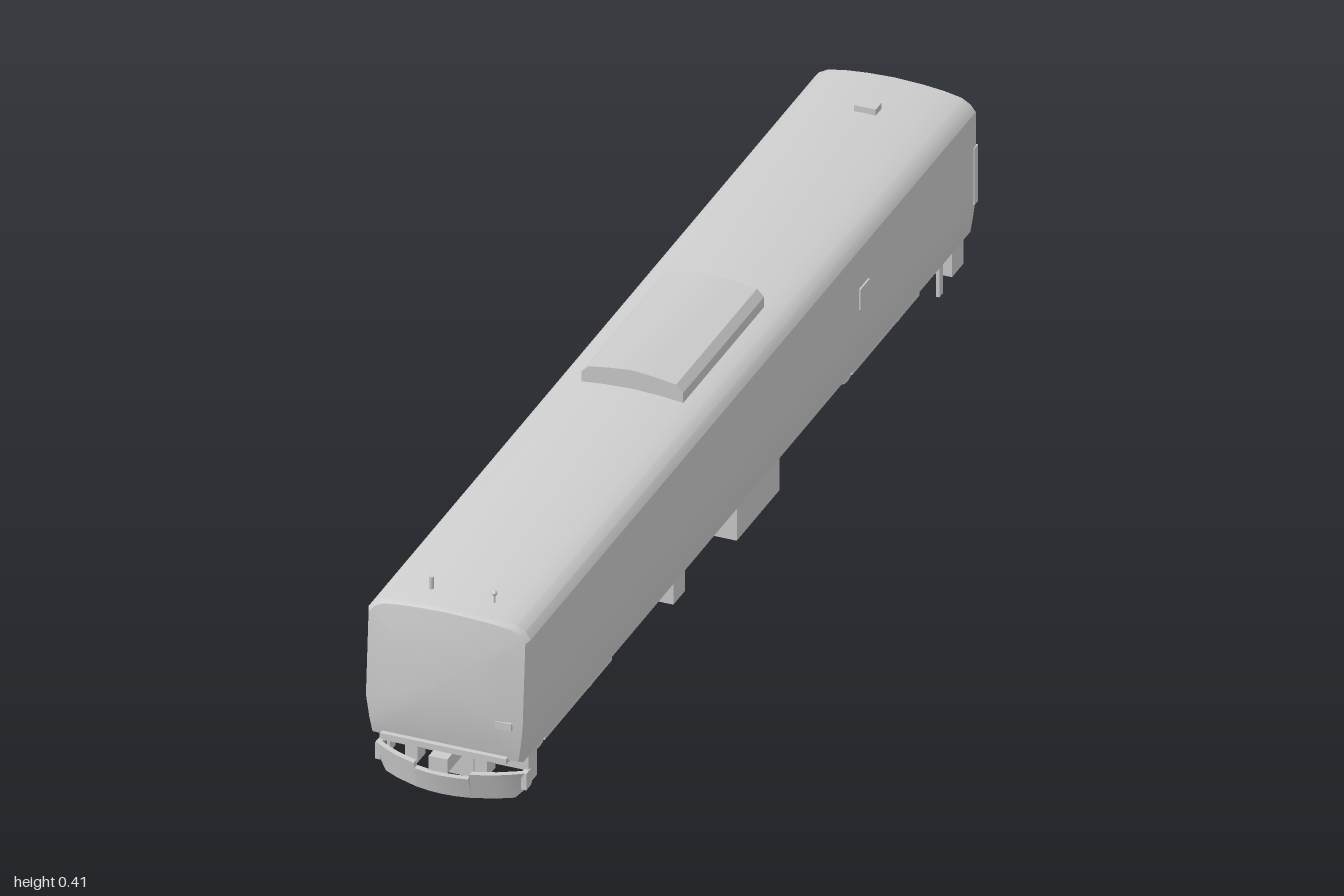
import * as THREE from 'three';
import { toCreasedNormals } from 'three/addons/utils/BufferGeometryUtils.js';

const mat = new THREE.MeshStandardMaterial({ color: 0xcccccc });

function add(parent, name, geo, x = 0, y = 0, z = 0) {
  const m = new THREE.Mesh(geo, mat);
  m.name = name;
  m.position.set(x, y, z);
  parent.add(m);
  return m;
}

// Box given by its extents on each axis
function box(parent, name, x0, x1, y0, y1, z0, z1) {
  return add(parent, name, new THREE.BoxGeometry(x1 - x0, y1 - y0, z1 - z0),
    (x0 + x1) / 2, (y0 + y1) / 2, (z0 + z1) / 2);
}

// The same box on both sides
function pair(parent, name, x0, x1, ...rest) {
  box(parent, name + 'Left', x0, x1, ...rest);
  box(parent, name + 'Right', -x1, -x0, ...rest);
}

// Skin closed rings of points and cap both ends
function loft(rings, crease = 0.5) {
  const pos = [];
  const tri = (...pts) => pts.forEach(p => pos.push(...p));
  const n = rings[0].length;
  const mid = r => [0, 1, 2].map(k => r.reduce((s, p) => s + p[k], 0) / n);
  const first = rings[0], last = rings[rings.length - 1];
  const c0 = mid(first), c1 = mid(last);
  for (let j = 0; j < n; j++) {
    const k = (j + 1) % n;
    tri(c0, first[k], first[j]);
    tri(c1, last[j], last[k]);
    for (let i = 0; i < rings.length - 1; i++) {
      const a = rings[i], b = rings[i + 1];
      tri(a[j], a[k], b[k]);
      tri(a[j], b[k], b[j]);
    }
  }
  const g = new THREE.BufferGeometry();
  g.setAttribute('position', new THREE.Float32BufferAttribute(pos, 3));
  return toCreasedNormals(g, crease);
}

// Mirror the right half of an outline, bottom to top
const mirrored = half => [...half, ...half.filter(p => p[0] > 0).reverse().map(([x, y]) => [-x, y])];

export function createModel() {
  const car = new THREE.Group();
  car.name = 'railCar';

  // Body shell with a gently bowed, bevelled front
  const outline = mirrored([[0.138, 0.1], [0.143, 0.13], [0.148, 0.17], [0.148, 0.335],
    [0.138, 0.348], [0.122, 0.357], [0.09, 0.363], [0.05, 0.367], [0, 0.369]]);
  const nose = (x, y) => 0.985 - 0.6 * x * x - 0.7 * (y - 0.2) ** 2;
  const ring = (s, zOf) => outline.map(([x, y]) => {
    const px = x * s, py = 0.23 + (y - 0.23) * s;
    return [px, py, zOf(px, py)];
  });
  add(car, 'body', loft([
    ring(1, () => -0.975),
    ring(1, (x, y) => nose(x, y) - 0.01),
    ...[0.965, 0.7, 0.4, 0.1].map(s => ring(s, nose)),
  ]));
  box(car, 'frontSill', -0.115, 0.115, 0.1, 0.111, 0.95, 0.979);
  box(car, 'frontPanel', 0.095, 0.125, 0.168, 0.182, 0.96, 0.98);

  // Roof pod
  const podOutline = mirrored([[0.093, 0.355], [0.093, 0.382], [0.08, 0.395], [0.04, 0.401], [0, 0.405]]);
  add(car, 'roofPod', loft([-0.19, 0.16].map(z => podOutline.map(([x, y]) => [x, y, z]))));

  // Roof fittings
  box(car, 'roofHatch', -0.02, 0.02, 0.365, 0.38, -0.87, -0.845);
  add(car, 'hornPost', new THREE.CylinderGeometry(0.004, 0.004, 0.03, 10), -0.052, 0.375, 0.905);
  add(car, 'aerialPost', new THREE.CylinderGeometry(0.002, 0.002, 0.024, 8), 0.063, 0.372, 0.905);
  add(car, 'aerialTip', new THREE.SphereGeometry(0.005, 10, 8), 0.063, 0.383, 0.905);

  // Rear gangway frame and door
  box(car, 'rearDoor', -0.035, 0.035, 0.11, 0.3, -0.983, -0.97);
  pair(car, 'gangwayPost', 0.034, 0.046, 0.107, 0.308, -0.998, -0.97);
  box(car, 'gangwayHeader', -0.046, 0.046, 0.295, 0.308, -0.998, -0.97);
  box(car, 'gangwayStep', -0.046, 0.046, 0.107, 0.114, -1, -0.97);
  pair(car, 'rearHandrail', 0.144, 0.15, 0.16, 0.27, -0.98, -0.965);
  pair(car, 'sidePlate', 0.146, 0.151, 0.22, 0.26, -0.51, -0.47);

  // Curved plough with chamfered lower corners and a notch on top
  const xs = [0.138, 0.118, 0.09, 0.051, 0.049, 0.025];
  const ploughX = [...xs.map(x => -x), 0, ...[...xs].reverse()];
  add(car, 'plough', loft(ploughX.map(x => {
    const a = Math.abs(x), z = 0.992 - 2.6 * x * x;
    const low = 0.02 + Math.max(0, a - 0.118), top = a < 0.05 ? 0.061 : 0.07;
    return [[x, top, z - 0.012], [x, top, z], [x, low, z - 0.01], [x, low, z - 0.022]];
  })));
  pair(car, 'ploughCheek', 0.128, 0.138, 0.038, 0.07, 0.925, 0.945);
  pair(car, 'ploughBracket', 0.052, 0.075, 0.06, 0.1, 0.93, 0.965);
  box(car, 'bufferBeam', -0.136, 0.136, 0.068, 0.1, 0.9, 0.93);

  // Couplers
  box(car, 'frontCoupler', -0.017, 0.017, 0.073, 0.1, 0.92, 1);
  box(car, 'rearCoupler', -0.015, 0.015, 0.078, 0.098, -0.995, -0.93);

  // Underframe and hanging equipment
  box(car, 'centreSill', -0.035, 0.035, 0.032, 0.101, -0.96, 0.93);
  pair(car, 'equipmentBox', 0.085, 0.136, 0.035, 0.101, -0.155, 0.03);
  pair(car, 'smallBox', 0.09, 0.13, 0.048, 0.101, 0.24, 0.29);
  pair(car, 'sillTank', 0.035, 0.05, 0.06, 0.095, 0.33, 0.47);
  pair(car, 'rearCornerBox', 0.085, 0.132, 0.045, 0.101, -0.96, -0.91);
  pair(car, 'frontStep', 0.126, 0.132, 0.035, 0.101, 0.885, 0.91);
  pair(car, 'rearStep', 0.126, 0.132, 0.035, 0.101, -0.87, -0.855);

  // Two bogies with wheels, axles, side frames and dampers
  for (const [name, centre] of [['frontBogie', 0.63], ['rearBogie', -0.7]]) {
    const bogie = new THREE.Group();
    bogie.name = name;
    bogie.position.z = centre;
    car.add(bogie);
    for (const z of [-0.11, 0.11]) {
      add(bogie, 'axle', new THREE.CylinderGeometry(0.01, 0.01, 0.18, 10), 0, 0.04, z).rotation.z = Math.PI / 2;
      for (const x of [-0.07, 0.07])
        add(bogie, 'wheel', new THREE.CylinderGeometry(0.04, 0.04, 0.012, 24), x, 0.04, z).rotation.z = Math.PI / 2;
    }
    pair(bogie, 'sideFrame', 0.085, 0.1, 0.037, 0.08, -0.145, 0.145);
    box(bogie, 'bolster', -0.095, 0.095, 0.05, 0.1, -0.03, 0.03);
    pair(bogie, 'damper', 0.098, 0.112, 0.075, 0.095, -0.025, -0.01);
    pair(bogie, 'hanger', 0.1, 0.106, 0.06, 0.101, 0.02, 0.035);
  }
  return car;
}
